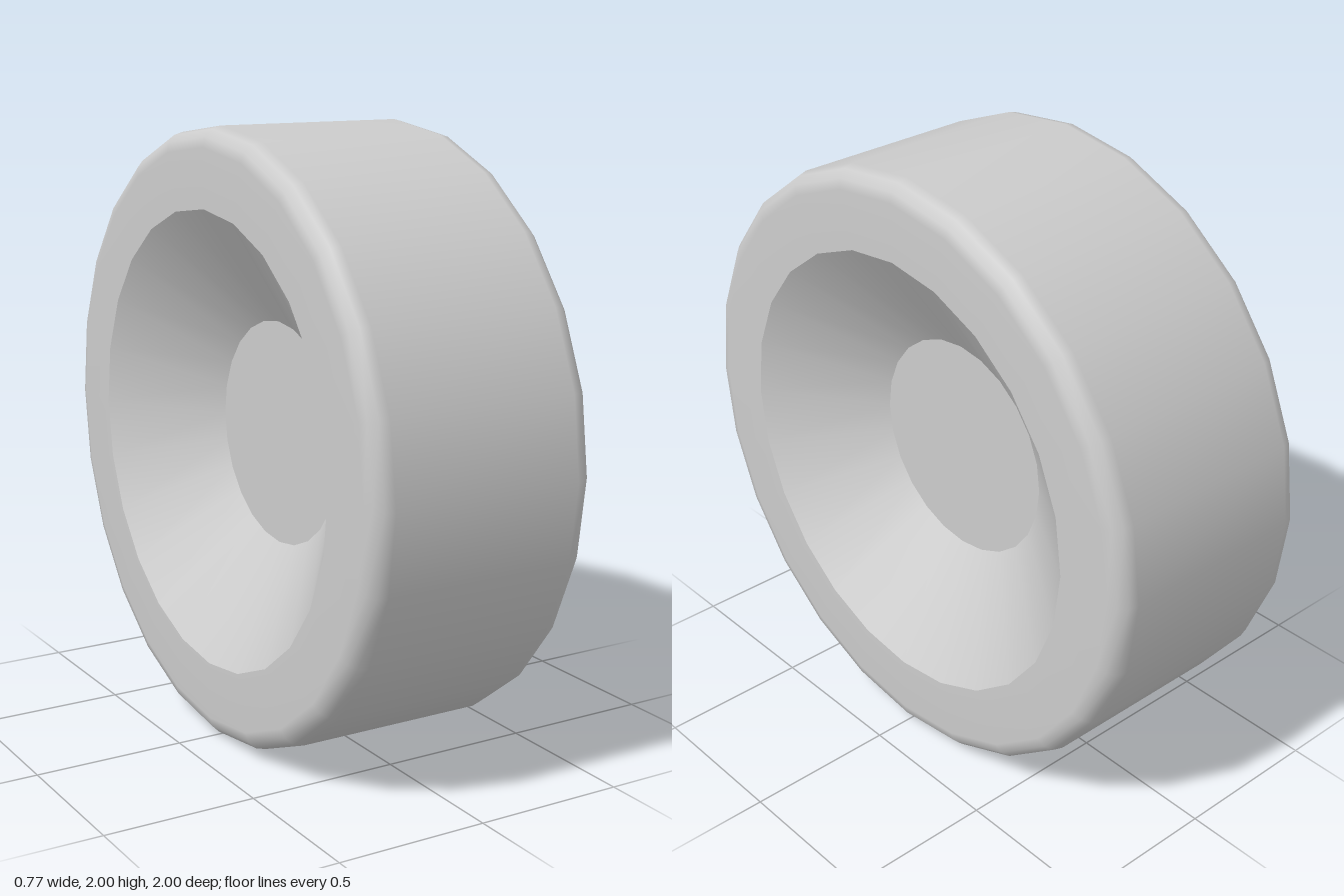
import * as THREE from 'three';

const SIDES = 24;
const HALF_WIDTH = 0.385, RADIUS = 1, BEVEL = 0.065;
const RECESS_R = 0.745, HUB_R = 0.37, HUB_X = 0.118;

export function createModel() {
  const model = new THREE.Group();
  model.name = 'wheel';
  const material = new THREE.MeshStandardMaterial({ color: 0xcccccc });

  // Revolves a [radius, x] profile about the x axis
  const revolve = (name, profile) => {
    const points = profile.map(([r, x]) => new THREE.Vector2(r, x));
    const geometry = new THREE.LatheGeometry(points, SIDES);
    geometry.rotateZ(-Math.PI / 2);
    geometry.translate(0, RADIUS, 0);
    const mesh = new THREE.Mesh(geometry, material);
    mesh.name = name;
    model.add(mesh);
  };

  // Tyre: side walls, rounded shoulders and tread in one smooth skin
  const shoulder = [];
  for (let i = 0; i <= 3; i++) {
    const a = (i / 3) * Math.PI / 2;
    shoulder.push([
      RADIUS - BEVEL + BEVEL * Math.cos(a),
      HALF_WIDTH - BEVEL + BEVEL * Math.sin(a),
    ]);
  }
  const upper = [...shoulder, [RECESS_R, HALF_WIDTH]];
  const lower = upper.map(([r, x]) => [r, -x]).reverse();
  revolve('tyre', [...lower, ...upper]);

  // Conical recess and flat hub, the same on both sides
  const recess = [[RECESS_R, HALF_WIDTH], [HUB_R, HUB_X]];
  const hub = [[HUB_R, HUB_X], [0, HUB_X]];
  const mirror = (profile) => profile.map(([r, x]) => [r, -x]).reverse();
  revolve('leftRecess', recess);
  revolve('rightRecess', mirror(recess));
  revolve('leftHub', hub);
  revolve('rightHub', mirror(hub));

  return model;
}
